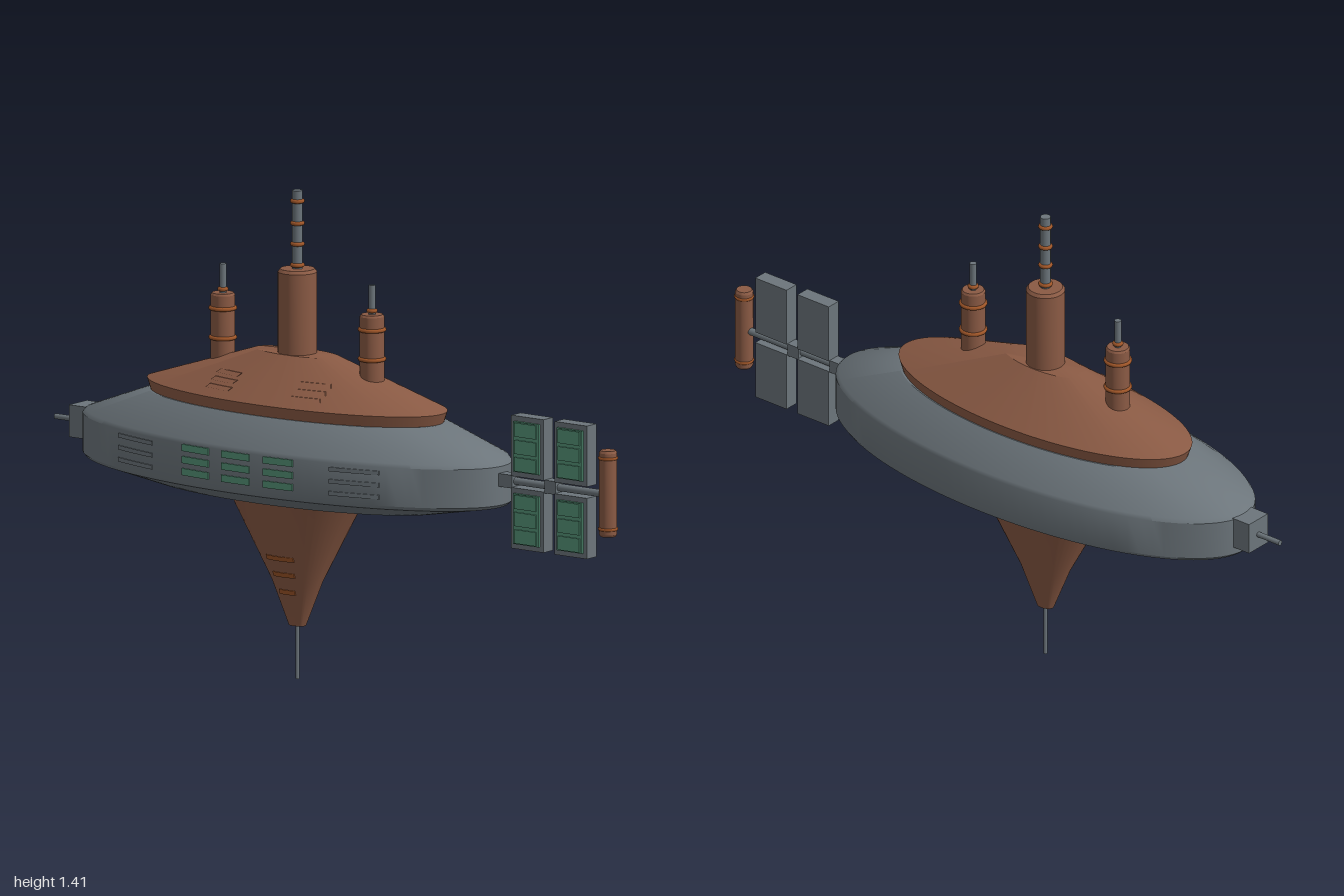
import * as THREE from 'three';
import { toCreasedNormals } from 'three/addons/utils/BufferGeometryUtils.js';

const CX = -0.137; // axis of the station body

const mat = (name, color) => {
  const m = new THREE.MeshStandardMaterial({ color });
  m.name = name;
  return m;
};

// radius of a profile [[r, y], ...] at height y
function radiusAt(profile, y) {
  for (let i = 1; i < profile.length; i++) {
    const [r0, y0] = profile[i - 1], [r1, y1] = profile[i];
    if (y1 > y0 && y >= y0 && y <= y1) return r0 + (r1 - r0) * (y - y0) / (y1 - y0);
  }
  return 0;
}

export function createModel() {
  const root = new THREE.Group();
  root.name = 'spaceStation';
  const grey = mat('hullGrey', 0x6c757b);
  const brown = mat('copperBrown', 0x8a5a44);
  const orange = mat('rustOrange', 0x9e5528);
  const green = mat('panelGreen', 0x559478);

  const add = (name, geo, material, x = 0, y = 0, z = 0) => {
    const mesh = new THREE.Mesh(geo, material);
    mesh.name = name;
    mesh.position.set(x, y, z);
    root.add(mesh);
    return mesh;
  };
  const box = (name, m, x0, x1, y0, y1, z0, z1) =>
    add(name, new THREE.BoxGeometry(x1 - x0, y1 - y0, z1 - z0), m,
      (x0 + x1) / 2, (y0 + y1) / 2, (z0 + z1) / 2);
  const rod = (name, m, x, y0, y1, r, sides = 24) =>
    add(name, new THREE.CylinderGeometry(r, r, y1 - y0, sides), m, x, (y0 + y1) / 2, 0);
  const rodX = (name, m, x0, x1, y, r) => {
    const mesh = add(name, new THREE.CylinderGeometry(r, r, x1 - x0, 16), m, (x0 + x1) / 2, y, 0);
    mesh.rotation.z = Math.PI / 2;
  };
  const ring = (name, m, x, y, r, tube) => {
    const geo = new THREE.TorusGeometry(r, tube, 8, 24);
    geo.rotateX(Math.PI / 2);
    add(name, geo, m, x, y, 0);
  };
  // turned body, flattened in z by k
  const turned = (name, m, x, profile, k = 1, sides = 80) => {
    const geo = new THREE.LatheGeometry(profile.map(p => new THREE.Vector2(...p)), sides);
    geo.scale(1, 1, k);
    add(name, toCreasedNormals(geo, 0.5), m, x);
  };
  // thin strip that follows the front of a turned body
  const strip = (name, m, profile, k, x, y, w, h, t = 0.004, skew = 0) => {
    const geo = new THREE.BoxGeometry(w, h, 1, 8, 1, 1);
    const p = geo.attributes.position;
    for (let i = 0; i < p.count; i++) {
      const py = y + p.getY(i);
      const px = x + p.getX(i) + skew * p.getY(i);
      const r = radiusAt(profile, py);
      const z = k * Math.sqrt(Math.max(r * r - (px - CX) ** 2, 0));
      p.setXYZ(i, px, py, z + (p.getZ(i) > 0 ? t : -t));
    }
    geo.computeVertexNormals();
    add(name, geo, m);
  };

  // main oval hull, upper deck and lower cone
  const hull = [[0, 0.54], [0.515, 0.54], [0.722, 0.58], [0.733, 0.59],
    [0.733, 0.702], [0.722, 0.713], [0.51, 0.793], [0, 0.793]];
  const deck = [[0, 0.79], [0.5, 0.79], [0.513, 0.825], [0.145, 0.945], [0, 0.945]];
  const cone = [[0, 0.155], [0.027, 0.155], [0.08, 0.285], [0.22, 0.545], [0, 0.545]];
  turned('hull', grey, CX, hull, 0.4, 96);
  turned('upperDeck', brown, CX, deck, 0.4, 96);
  turned('lowerCone', brown, CX, cone, 0.72, 48);
  rod('keelAntenna', grey, CX, 0, 0.16, 0.006, 12);

  // window rows and hatch slats on the front of the hull
  for (const dy of [-0.035, 0, 0.035]) {
    for (const x of [-0.282, -0.135, 0.012]) {
      strip('hullWindow', green, hull, 0.4, x, 0.655 + dy, 0.1, 0.02);
    }
    for (const s of [-1, 1]) {
      strip('hullSlat', grey, hull, 0.4, CX + s * 0.39, 0.65 + dy, 0.15, 0.012);
      strip('deckVent', brown, deck, 0.4, CX + s * 0.155, 0.868 + dy * 0.5, 0.09, 0.009, 0.004, -s);
    }
  }
  // orange stripes on the cone
  [[0.36, 0.095], [0.31, 0.075], [0.257, 0.055]].forEach(([y, w]) =>
    strip('coneStripe', orange, cone, 0.72, CX, y, w, 0.014));

  // central tower with ringed mast
  turned('mainTower', brown, CX,
    [[0, 0.9], [0.056, 0.9], [0.056, 1.178], [0.049, 1.187], [0, 1.187]], 1, 40);
  rod('mainMast', grey, CX, 1.18, 1.413, 0.015);
  for (const y of [1.197, 1.258, 1.318, 1.382]) ring('mastRing', orange, CX, y, 0.015, 0.006);

  // two side towers
  for (const s of [-1, 1]) {
    const x = CX + s * 0.266;
    turned('sideTower', brown, x,
      [[0, 0.86], [0.035, 0.86], [0.035, 1.08], [0.031, 1.086], [0, 1.086]], 1, 32);
    rod('sideMast', grey, x, 1.08, 1.17, 0.01, 16);
    ring('sideMastRing', orange, x, 1.096, 0.01, 0.006);
    for (const y of [0.957, 1.042]) ring('sideTowerRing', orange, x, y, 0.035, 0.006);
  }

  // docking block and probe on the right end
  box('dockBlock', grey, -0.92, -0.85, 0.613, 0.706, -0.042, 0.042);
  rodX('dockProbe', grey, -1, -0.91, 0.657, 0.008);

  // boom with four panels on the left end
  rodX('panelBoom', grey, 0.58, 0.96, 0.664, 0.011);
  box('boomCollar', grey, 0.59, 0.642, 0.645, 0.683, -0.018, 0.018);
  box('boomCollar', grey, 0.757, 0.797, 0.645, 0.683, -0.018, 0.018);
  for (const x of [0.6995, 0.8545]) {
    for (const y of [0.77, 0.561]) {
      box('panelFrame', grey, x - 0.0575, x + 0.0575, y - 0.088, y + 0.088, -0.022, 0.022);
      box('panelCell', green, x - 0.045, x + 0.045, y - 0.073, y + 0.073, 0.02, 0.029);
      for (const d of [-0.05, 0, 0.05]) {
        box('panelSlat', green, x - 0.038, x + 0.038, y + d - 0.02, y + d + 0.02, 0.028, 0.034);
      }
    }
  }

  // end tank
  const tankX = 0.971;
  turned('endTank', brown, tankX,
    [[0, 0.543], [0.022, 0.543], [0.026, 0.55], [0.026, 0.785], [0.022, 0.792], [0, 0.792]], 1, 24);
  for (const y of [0.565, 0.77]) ring('tankRing', orange, tankX, y, 0.024, 0.005);

  return root;
}
